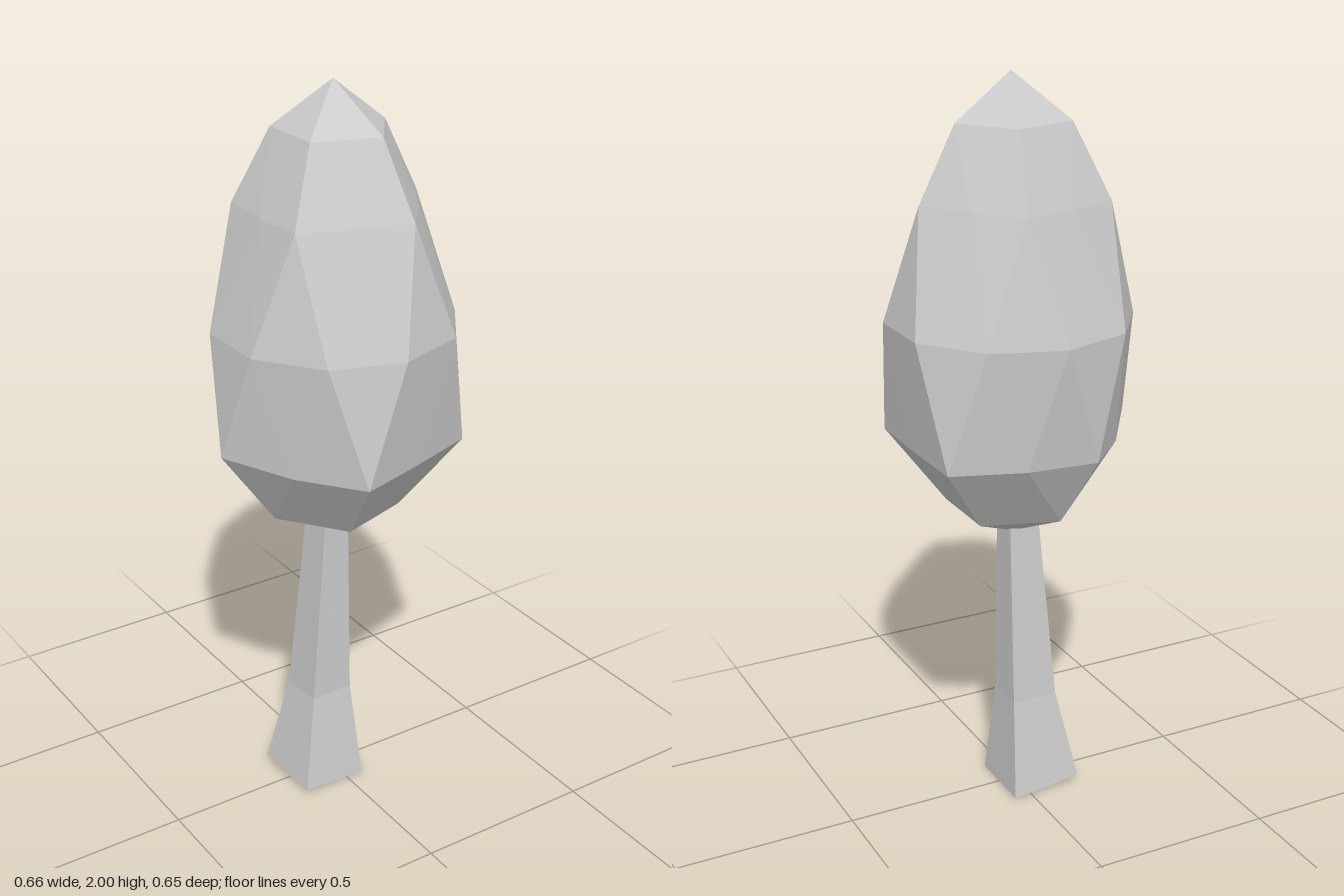
import * as THREE from 'three';

// Flat-shaded mesh from corner points and triangle indices
function facetedMesh(name, points, faces, side) {
  const indexed = new THREE.BufferGeometry();
  indexed.setAttribute('position', new THREE.Float32BufferAttribute(points.flat(), 3));
  indexed.setIndex(faces.flat());
  const geometry = indexed.toNonIndexed();
  geometry.computeVertexNormals();
  const material = new THREE.MeshStandardMaterial({ color: 0xcccccc, flatShading: true, side });
  const mesh = new THREE.Mesh(geometry, material);
  mesh.name = name;
  return mesh;
}

// Stretched, once-subdivided icosahedron standing on its pole
function createCrown() {
  const points = [];
  // Even and odd points of a ring may have different radii
  const ring = (count, startDeg, y, evenR, oddR, cx) => {
    const first = points.length;
    for (let i = 0; i < count; i++) {
      const a = THREE.MathUtils.degToRad(startDeg + (i * 360) / count);
      const r = i % 2 ? oddR : evenR;
      points.push([cx + r * Math.cos(a), y, r * Math.sin(a)]);
    }
    return (i) => first + ((i + count) % count);
  };

  const top = ring(1, 0, 2, 0, 0, 0.01)(0);
  const cap = ring(5, 0, 1.88, 0.155, 0.155, 0.01);
  const upper = ring(10, 0, 1.685, 0.255, 0.213, 0.01);
  const middle = ring(10, 18, 1.37, 0.327, 0.327, 0.015);
  const lower = ring(10, 0, 1.045, 0.28, 0.342, 0.012);
  const base = ring(5, 36, 0.85, 0.18, 0.18, 0.008);
  const bottom = ring(1, 0, 0.77, 0, 0, 0.005)(0);
  // Slight irregularity of the lower ring
  points[lower(5)][1] = 1.07;
  points[lower(7)][2] = -0.285;

  const faces = [];
  for (let k = 0; k < 5; k++) {
    const u = 2 * k;
    faces.push(
      [top, cap(k + 1), cap(k)],
      [cap(k), upper(u + 1), upper(u)],
      [cap(k), cap(k + 1), upper(u + 1)],
      [cap(k + 1), upper(u + 2), upper(u + 1)],
      [bottom, base(k), base(k + 1)],
      [base(k), lower(u + 1), lower(u + 2)],
      [base(k), lower(u + 2), base(k + 1)],
      [base(k + 1), lower(u + 2), lower(u + 3)],
    );
  }
  for (let j = 0; j < 10; j++) {
    faces.push(
      [upper(j), upper(j + 1), middle(j)],
      [upper(j), middle(j), middle(j - 1)],
      [lower(j), lower(j - 1), middle(j - 1)],
      [lower(j), middle(j - 1), middle(j)],
    );
  }
  return facetedMesh('crown', points, faces, THREE.FrontSide);
}

// Open four-sided trunk, flared and leaning slightly at the foot
function createTrunk() {
  // Corners per level: front left, front right, back right, back left as seen from the front
  const points = [
    [-0.14, 0.015, 0.1], [0.05, 0, 0.092], [0.05, 0, -0.105], [-0.15, 0.02, -0.1],
    [-0.09, 0.28, 0.058], [0.035, 0.28, 0.052], [0.035, 0.28, -0.065], [-0.096, 0.28, -0.062],
    [-0.045, 0.84, 0.05], [0.03, 0.84, 0.045], [0.03, 0.84, -0.032], [-0.053, 0.84, -0.03],
  ];
  const faces = [];
  for (let level = 0; level < 8; level += 4) {
    for (let i = 0; i < 4; i++) {
      const a = level + i;
      const b = level + ((i + 1) % 4);
      faces.push([a, b, b + 4], [a, b + 4, a + 4]);
    }
  }
  return facetedMesh('trunk', points, faces, THREE.DoubleSide);
}

export function createModel() {
  const tree = new THREE.Group();
  tree.name = 'tree';
  tree.add(createTrunk(), createCrown());
  return tree;
}
